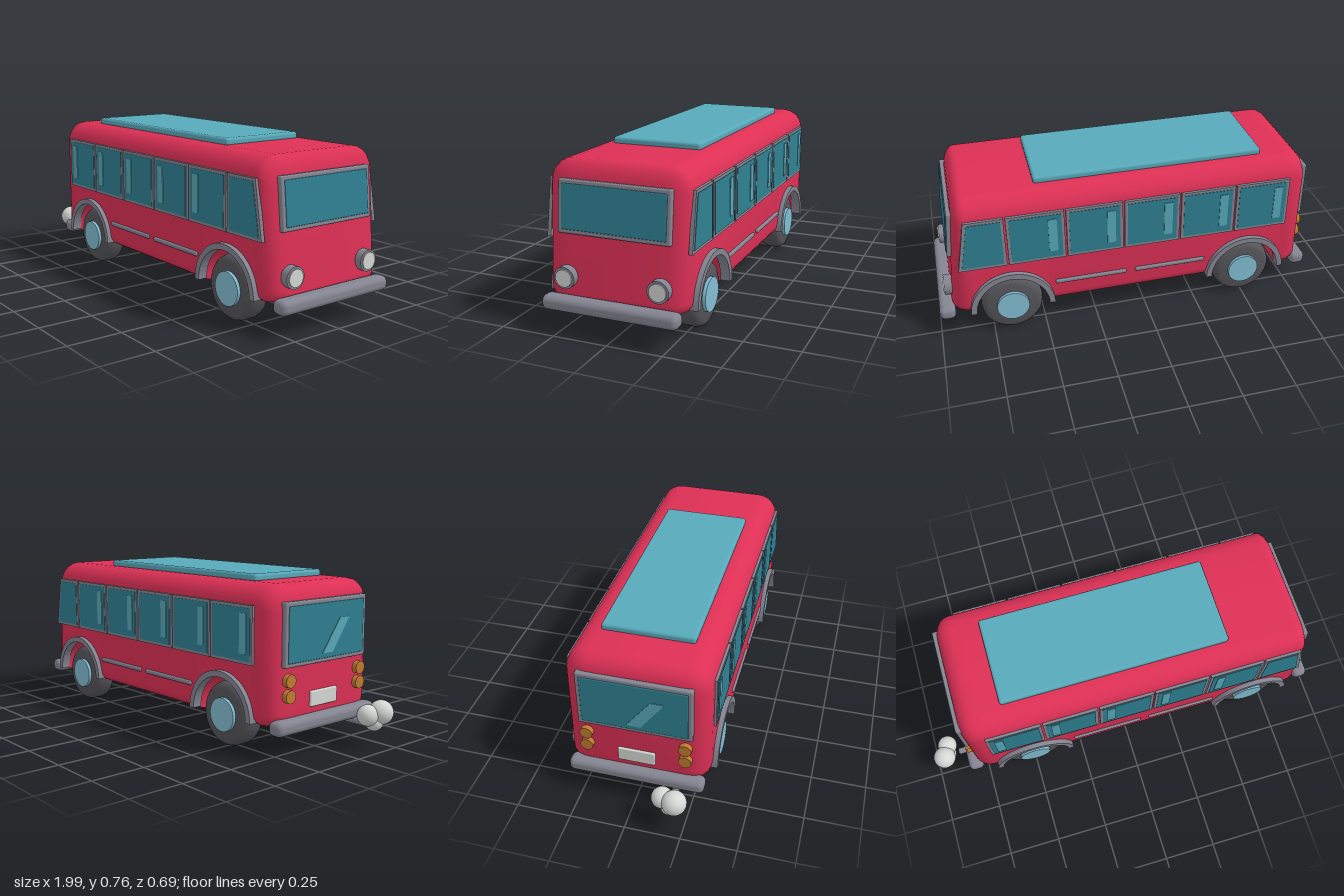
import * as THREE from 'three';
import { toCreasedNormals } from 'three/addons/utils/BufferGeometryUtils.js';
import { RoundedBoxGeometry } from 'three/addons/geometries/RoundedBoxGeometry.js';

const mat = (name, color) => {
  const m = new THREE.MeshStandardMaterial({ color });
  m.name = name;
  return m;
};

const AXLES = [-0.495, 0.654], AXLE_Y = 0.147, WELL = 0.178;

// Body shell: rounded cross-sections along x, with wheel wells cut across the underside
function bodyGeometry() {
  const X0 = -0.79, X1 = 0.93, R = 0.08, stations = [];
  for (let i = 0; i <= 5; i++) {
    const a = (i / 5) * Math.PI / 2, inset = R * (1 - Math.sin(a)), dx = R * (1 - Math.cos(a));
    stations.push([X0 + dx, inset], [X1 - dx, inset]);
  }
  for (const c of AXLES) {
    for (let i = 0; i <= 24; i++) stations.push([c - WELL * Math.cos(i / 24 * Math.PI), 0]);
  }
  stations.sort((a, b) => a[0] - b[0]);

  const arch = x => {
    for (const c of AXLES) {
      const d = WELL * WELL - (x - c) ** 2;
      if (d > 1e-9) return AXLE_Y + Math.sqrt(d);
    }
    return 0;
  };
  const rings = stations.map(([x, d]) => {
    const w = 0.32 - d, top = 0.733 - d, bottom = 0.135 + 0.5 * d;
    const rt = 0.1 - 0.5 * d, rb = 0.05 - 0.3 * d, half = [];
    for (let i = 0; i <= 4; i++) {
      const a = (i / 4 - 1) * Math.PI / 2;
      half.push([w - rb + rb * Math.cos(a), Math.max(bottom + rb + rb * Math.sin(a), arch(x))]);
    }
    for (let i = 0; i <= 5; i++) {
      const a = i / 5 * Math.PI / 2;
      half.push([w - rt + rt * Math.cos(a), top - rt + rt * Math.sin(a)]);
    }
    const ring = [...half, ...half.slice().reverse().map(([z, y]) => [-z, y])];
    // lean the nose back
    const lean = 0.1 * THREE.MathUtils.clamp((x - 0.8) / 0.13, 0, 1);
    return ring.map(([z, y]) => [x - lean * (y - 0.2), y, z]);
  });

  const n = rings[0].length, index = [], last = (rings.length - 1) * n;
  for (let i = 0; i < rings.length - 1; i++) {
    for (let j = 0; j < n; j++) {
      const k = (j + 1) % n, a = i * n, b = a + n;
      index.push(a + j, b + j, b + k, a + j, b + k, a + k);
    }
  }
  for (let j = 1; j < n - 1; j++) index.push(0, j, j + 1, last, last + j + 1, last + j);
  const g = new THREE.BufferGeometry();
  g.setAttribute('position', new THREE.Float32BufferAttribute(rings.flat(2), 3));
  g.setIndex(index);
  return toCreasedNormals(g, 0.6);
}

export function createModel() {
  const root = new THREE.Group();
  root.name = 'bus';
  const red = mat('red paint', 0xdd3055);
  const grey = mat('grey trim', 0x858592);
  const glass = mat('dark glass', 0x2f8092);
  const shine = mat('light glass', 0x58a9ba);
  const hubBlue = mat('hub blue', 0x82bdd3);
  const rubber = mat('tyre rubber', 0x55555a);
  const lamp = mat('lamp white', 0xd6d8d6);
  const orange = mat('orange lamp', 0xc07a30);

  const add = (name, geo, m, x = 0, y = 0, z = 0, parent = root) => {
    const mesh = new THREE.Mesh(geo, m);
    mesh.name = name;
    mesh.position.set(x, y, z);
    parent.add(mesh);
    return mesh;
  };
  const rbox = (w, h, d, r) => new RoundedBoxGeometry(w, h, d, 3, r);
  // cylinder lying along x
  const discX = (r, len) => new THREE.CylinderGeometry(r, r, len, 32).rotateZ(Math.PI / 2);
  const extrude = (shape, depth) =>
    new THREE.ExtrudeGeometry(shape, { depth, bevelEnabled: false, curveSegments: 32 });
  const quad = pts => new THREE.Shape(pts.map(p => new THREE.Vector2(...p)));

  add('body', bodyGeometry(), red);
  add('roofPanel', rbox(1.085, 0.036, 0.42, 0.013), shine, -0.037, 0.744, 0);

  // Tyre profile, turned about the axle
  const tyreGeo = new THREE.LatheGeometry([
    [0, -0.055], [0.115, -0.055], [0.13, -0.05], [0.14, -0.038], [0.145, -0.02],
    [0.145, 0.02], [0.14, 0.038], [0.13, 0.05], [0.115, 0.055], [0, 0.055],
  ].map(p => new THREE.Vector2(...p)), 40).rotateX(Math.PI / 2);
  const tyre = toCreasedNormals(tyreGeo, 0.7);
  const hub = new THREE.CylinderGeometry(0.076, 0.076, 0.03, 36).rotateX(Math.PI / 2);
  const fenderShape = new THREE.Shape();
  fenderShape.absarc(0, 0, 0.198, 0, Math.PI, false);
  fenderShape.absarc(0, 0, 0.171, Math.PI, 0, true);
  const fender = toCreasedNormals(extrude(fenderShape, 0.045), 0.6);

  for (const side of [1, -1]) {
    // place a plate so its inner face starts at depth z from the centre
    const plate = (name, pts, depth, z, m) =>
      add(name, extrude(quad(pts), depth), m, 0, 0, side > 0 ? z : -z - depth);

    for (const x of AXLES) {
      add('tyre', tyre, rubber, x, 0.146, side * 0.255);
      add('hubcap', hub, hubBlue, x, 0.146, side * 0.31);
      add('fender', fender, grey, x, AXLE_Y, side > 0 ? 0.298 : -0.343);
    }

    // Six side windows; the last leans with the nose
    for (let i = 0; i < 6; i++) {
      const x0 = -0.69 + i * 0.2705, end = i === 5;
      const xb = end ? 0.882 : x0 + 0.262, xt = end ? 0.838 : xb, e = 0.013;
      plate('windowFrame', [[x0, 0.395], [xb, 0.395], [xt, 0.647], [x0, 0.647]], 0.017, 0.314, grey);
      plate('windowGlass', [[x0 + e, 0.395 + e], [xb - e - (end ? 0.004 : 0), 0.395 + e],
        [xt - e, 0.647 - e], [x0 + e, 0.647 - e]], 0.005, 0.328, glass);
      if (!end) {
        const h = x0 + 0.035;
        plate('windowShine', [[h, 0.44], [h + 0.04, 0.44], [h + 0.04, 0.612], [h, 0.612]], 0.004, 0.332, shine);
      }
    }
    for (const [a, b] of [[-0.285, 0.062], [0.105, 0.447]]) {
      add('sideTrim', rbox(b - a, 0.02, 0.02, 0.007), grey, (a + b) / 2, 0.252, side * 0.321);
    }

    // Headlamps and tail lamps
    add('headlampRing', discX(0.048, 0.06), grey, 0.927, 0.248, side * 0.213);
    add('headlampLens', discX(0.038, 0.01), lamp, 0.957, 0.248, side * 0.213);
    for (const y of [0.335, 0.268]) {
      add('tailLamp', discX(0.029, 0.035), orange, -0.796, y, side * 0.222);
    }
  }

  // Windscreen, leaning with the nose
  const screen = new THREE.Group();
  screen.name = 'windscreen';
  screen.position.set(0.896, 0.543, 0);
  screen.rotation.z = Math.atan(0.1);
  root.add(screen);
  add('windscreenFrame', rbox(0.036, 0.227, 0.51, 0.008), grey, 0, 0, 0, screen);
  add('windscreenGlass', rbox(0.01, 0.191, 0.474, 0.004), glass, 0.017, 0, 0, screen);

  // Rear window with a slanted shine, and number plate
  add('rearWindowFrame', rbox(0.036, 0.275, 0.51, 0.008), grey, -0.79, 0.527, 0);
  add('rearWindowGlass', rbox(0.01, 0.239, 0.474, 0.004), glass, -0.807, 0.527, 0);
  const slant = quad([[-0.035, 0.43], [0.03, 0.43], [0.135, 0.575], [0.075, 0.575]]);
  add('rearWindowShine', extrude(slant, 0.004).rotateY(-Math.PI / 2), shine, -0.811, 0, 0);
  add('numberPlate', rbox(0.02, 0.07, 0.17, 0.006), lamp, -0.79, 0.235, 0);

  // Bumpers
  add('frontBumper', rbox(0.075, 0.065, 0.62, 0.026), grey, 0.957, 0.14, 0);
  add('rearBumper', rbox(0.075, 0.065, 0.62, 0.026), grey, -0.798, 0.14, 0);

  // Exhaust pipe and smoke puffs
  add('exhaustPipe', discX(0.016, 0.17), grey, -0.79, 0.1, 0.185);
  for (const [x, y, z, r] of [[-0.945, 0.157, 0.21, 0.055], [-0.92, 0.148, 0.15, 0.048], [-0.928, 0.115, 0.185, 0.041]]) {
    add('smokePuff', new THREE.SphereGeometry(r, 24, 16), lamp, x, y, z);
  }
  return root;
}
